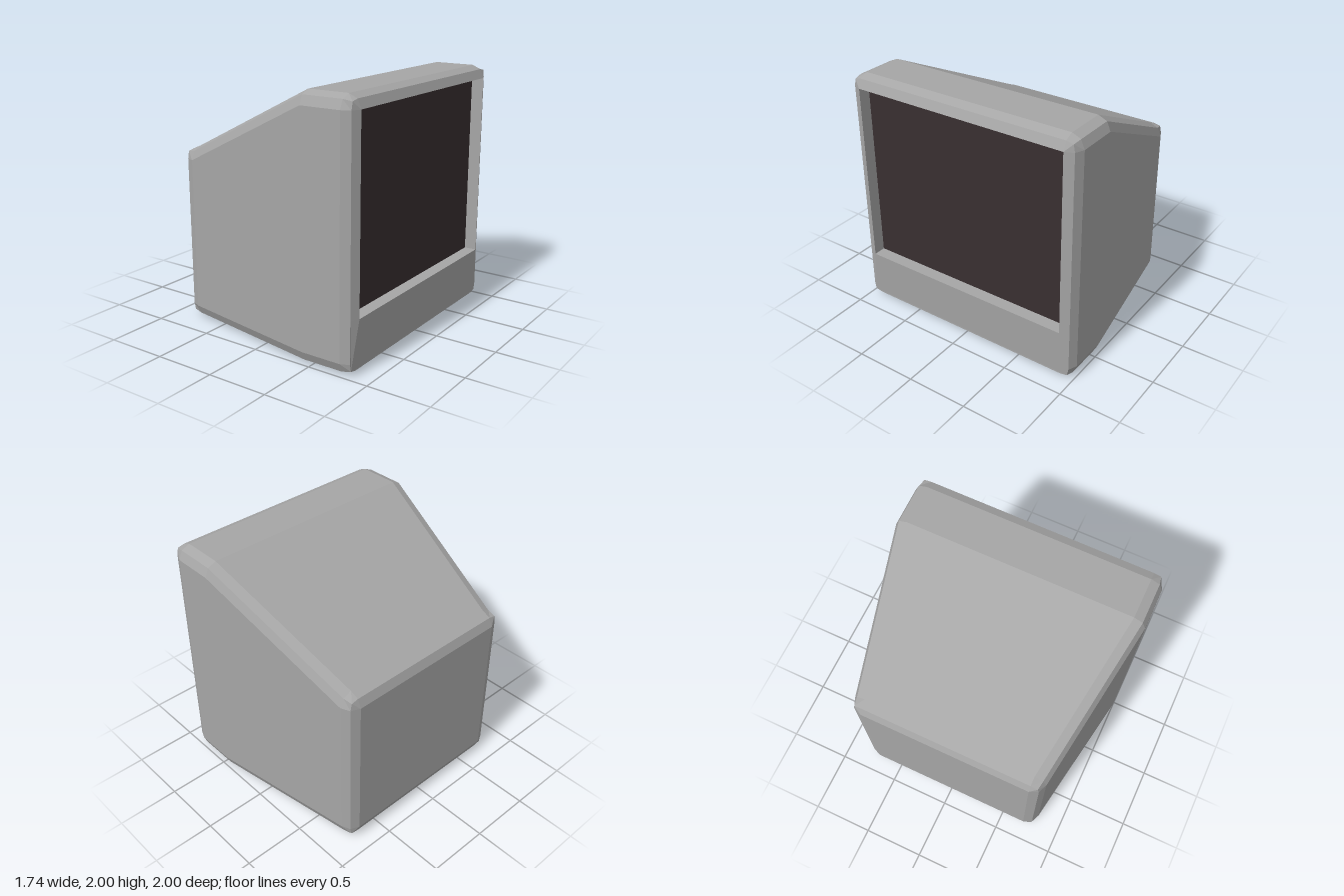
import * as THREE from 'three';

// Material palette
const casingMat = new THREE.MeshStandardMaterial({ color: 0xa6a6a6, flatShading: true });
casingMat.name = 'casing grey';
const screenMat = new THREE.MeshStandardMaterial({ color: 0x392f30, flatShading: true });
screenMat.name = 'screen dark';

const CHIN_Y = 0.43; // height of the lower edge of the screen opening
const FRONT = 0.87;
const RECESS = 0.77;

// Rounded rectangle across x: r is the bevel reach, m its middle point
function ring(x, halfWidth, top, r, m) {
  const bottom = 0.1;
  const half = [
    [halfWidth, bottom - r], [halfWidth + m, bottom - m], [halfWidth + r, bottom],
    [halfWidth + r, CHIN_Y],
    [halfWidth + r, top], [halfWidth + m, top + m], [halfWidth, top + r],
  ];
  const right = half.map(([w, y]) => new THREE.Vector3(x, y, -w));
  const left = half.map(([w, y]) => new THREE.Vector3(x, y, w)).reverse();
  return [...right, ...left];
}

// Geometry from four-cornered faces, skipping collapsed triangles
function facesGeometry(quads) {
  const points = [];
  for (const [a, b, c, d] of quads) {
    for (const [p, q, s] of [[a, b, c], [a, c, d]]) {
      if (new THREE.Triangle(p, q, s).getArea() > 1e-7) points.push(p, q, s);
    }
  }
  const geometry = new THREE.BufferGeometry().setFromPoints(points);
  geometry.computeVertexNormals();
  return geometry;
}

function addMesh(group, name, quads, material) {
  const mesh = new THREE.Mesh(facesGeometry(quads), material);
  mesh.name = name;
  group.add(mesh);
}

export function createModel() {
  const group = new THREE.Group();
  group.name = 'monitor';

  // Cross-sections from the narrow rear to the screen side
  const rings = [
    ring(-FRONT, 0.7, 1.32, 0, 0),
    ring(-0.84, 0.7, 1.32, 0.07, 0.058),
    ring(-0.77, 0.7, 1.32, 0.1, 0.07),
    ring(0.44, 0.9, 1.9, 0.1, 0.07),
    ring(0.77, 0.9, 1.9, 0.1, 0.07),
    ring(0.84, 0.9, 1.9, 0.07, 0.058),
    ring(FRONT, 0.9, 1.9, 0, 0),
  ];
  const rear = rings[0];
  const front = rings[6];

  // Chin tilts back to the bevel at its lower corners
  for (const i of [0, 1, 2]) front[i].copy(rings[5][1]);
  for (const i of [11, 12, 13]) front[i].copy(rings[5][12]);

  // Casing shell with its rear wall
  const shell = [[rear[11], rear[7], rear[4], rear[0]]];
  for (let k = 0; k < rings.length - 1; k++) {
    const a = rings[k], b = rings[k + 1];
    for (let i = 0; i < a.length; i++) {
      const j = (i + 1) % a.length;
      shell.push([a[i], a[j], b[j], b[i]]);
    }
  }
  addMesh(group, 'casing', shell, casingMat);

  // Panel below the screen
  addMesh(group, 'chin', [[front[11], front[0], front[3], front[10]]], casingMat);

  // Recess walls around the screen
  const opening = [front[10], front[3], front[4], front[7]];
  const inner = opening.map((p) => new THREE.Vector3(RECESS, p.y, p.z));
  const walls = opening.map((p, i) => {
    const j = (i + 1) % 4;
    return [p, opening[j], inner[j], inner[i]];
  });
  addMesh(group, 'screenRecess', walls, casingMat);

  // Screen
  addMesh(group, 'screen', [inner], screenMat);

  return group;
}
